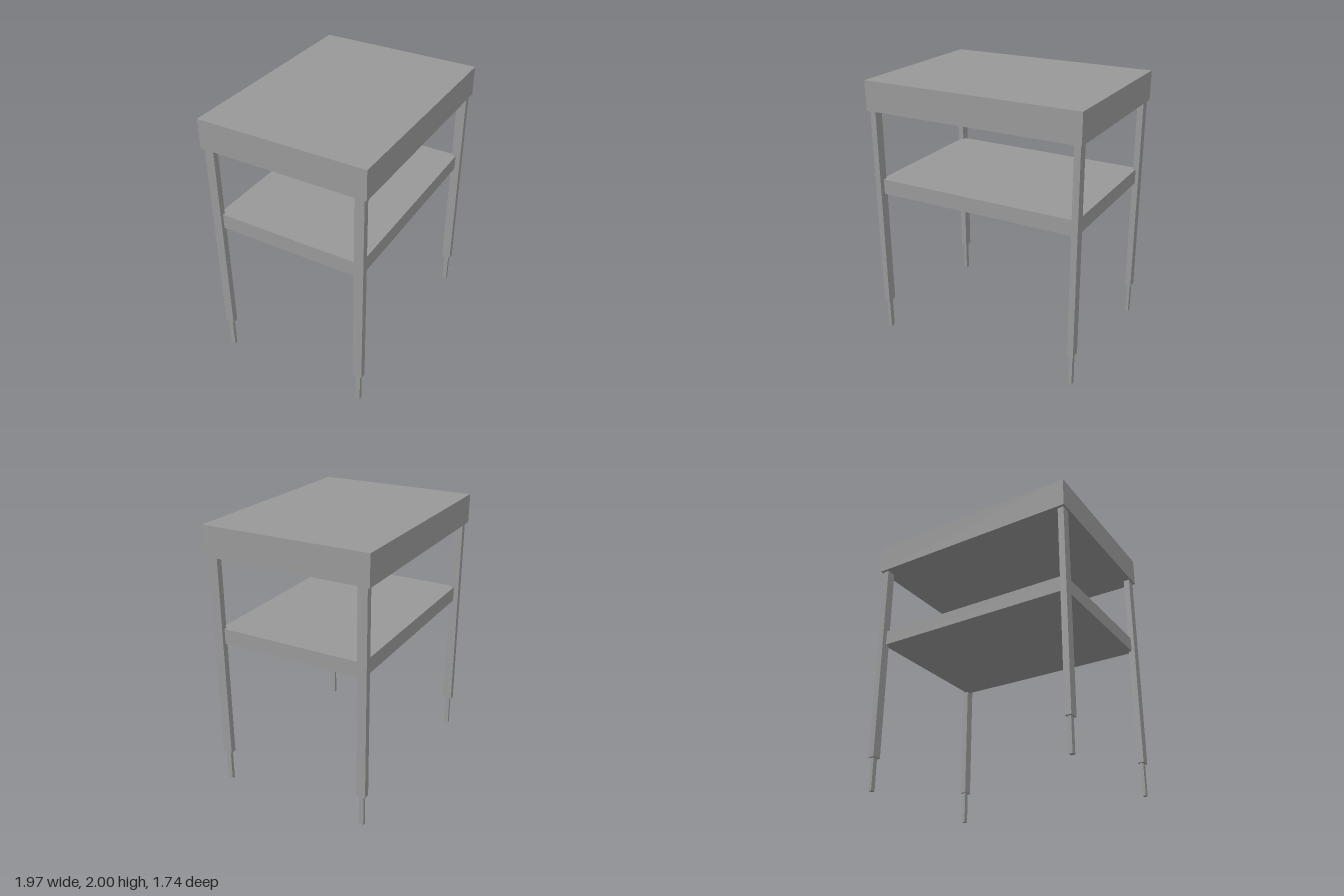
import * as THREE from 'three';

const material = new THREE.MeshStandardMaterial({ color: 0x999999, flatShading: true });

// Box spanning the heights y0 to y1, centred on (x, z)
function box(name, width, depth, y0, y1, x = 0, z = 0) {
  const mesh = new THREE.Mesh(new THREE.BoxGeometry(width, y1 - y0, depth), material);
  mesh.name = name;
  mesh.position.set(x, (y0 + y1) / 2, z);
  return mesh;
}

export function createModel() {
  const table = new THREE.Group();
  table.name = 'sideTable';

  // Thick top and thinner shelf, whose corners run into the legs
  table.add(box('tableTop', 1.647, 1.244, 1.782, 2));
  table.add(box('shelf', 1.57, 1.126, 1.142, 1.255));

  // Four legs, each with a narrower foot
  for (const [sz, end] of [[1, 'front'], [-1, 'back']]) {
    for (const [sx, side] of [[1, 'Left'], [-1, 'Right']]) {
      const x = sx * 0.787;
      const z = sz * 0.566;
      const leg = new THREE.Group();
      leg.name = `${end}${side}Leg`;
      leg.add(box('legPost', 0.046, 0.07, 0.242, 1.782, x, z));
      leg.add(box('foot', 0.025, 0.036, 0, 0.242, x, z));
      table.add(leg);
    }
  }

  // The whole table stands turned by about 20 degrees
  table.rotation.y = THREE.MathUtils.degToRad(20.15);

  const model = new THREE.Group();
  model.name = 'model';
  model.add(table);
  return model;
}
